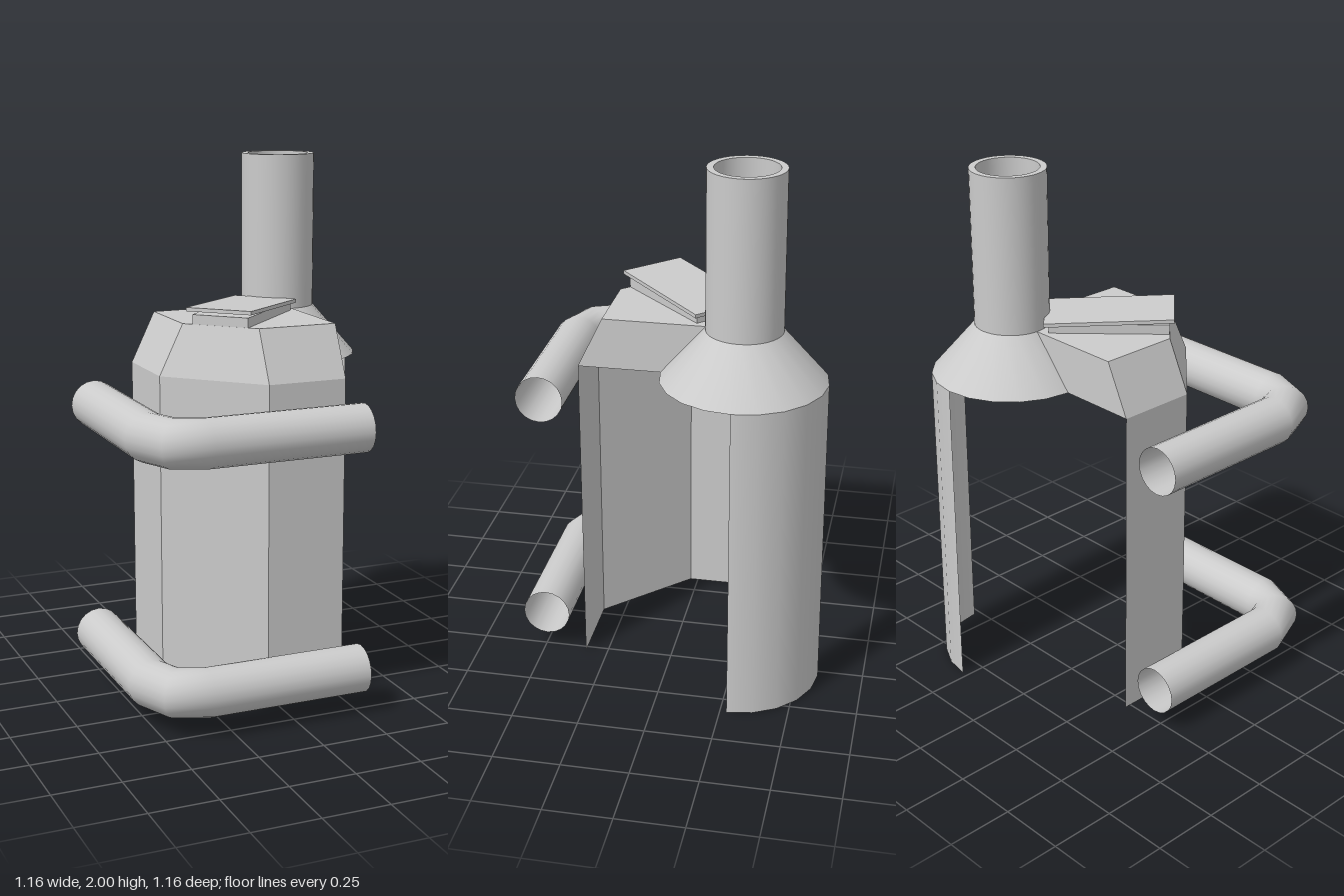
import * as THREE from 'three';
import { mergeGeometries } from 'three/addons/utils/BufferGeometryUtils.js';

const C = 0.275;                       // tank axis at (C, -C)
const R = 0.305, PIPE = 0.14, BORE = 0.115;
const EAVE = 1.22, ROOF = 1.41;

const material = new THREE.MeshStandardMaterial({ color: 0xcccccc, side: THREE.DoubleSide });

function add(parent, name, geometry) {
  const mesh = new THREE.Mesh(geometry, material);
  mesh.name = name;
  parent.add(mesh);
  return mesh;
}

// Flat convex polygons, each a list of [x, y, z] corners, front side counter-clockwise
function panels(polygons) {
  const pos = [];
  for (const p of polygons)
    for (let i = 1; i < p.length - 1; i++) pos.push(...p[0], ...p[i], ...p[i + 1]);
  const g = new THREE.BufferGeometry();
  g.setAttribute('position', new THREE.Float32BufferAttribute(pos, 3));
  g.computeVertexNormals();
  return g;
}

// Turned surface about the tank axis; each profile span is separate so its edges stay crisp
function turned(profile, segments, start, sweep) {
  const parts = [];
  for (let i = 0; i < profile.length - 1; i++) {
    const span = [profile[i], profile[i + 1]].map(([r, y]) => new THREE.Vector2(r, y));
    parts.push(new THREE.LatheGeometry(span, segments, start, sweep));
  }
  return mergeGeometries(parts).translate(C, 0, -C);
}

// Open tube rail: two straight runs joined by a two-segment elbow
function rail(y) {
  const r = 0.09, bend = 0.155, k = 0.335, len = k + C;
  const straight = () => new THREE.CylinderGeometry(r, r, len, 20, 1, true);
  const side = straight().rotateX(Math.PI / 2).translate(-k - bend, y, k - len / 2);
  const front = straight().rotateZ(Math.PI / 2).translate(-k + len / 2, y, k + bend);
  const elbow = new THREE.TorusGeometry(bend, r, 20, 2, Math.PI / 2)
    .rotateX(Math.PI / 2).rotateY(-Math.PI / 2).translate(-k, y, k);
  return mergeGeometries([side, front, elbow]);
}

export function createModel() {
  const model = new THREE.Group();
  model.name = 'tankWithHousing';

  // Tank: quarter wall, conical shoulder and hollow neck
  const tank = new THREE.Group();
  tank.name = 'tank';
  model.add(tank);
  add(tank, 'tankWall', turned([[R, 0], [R, EAVE]], 5, Math.PI / 2, Math.PI / 2));
  add(tank, 'shoulder', turned([[R, EAVE], [PIPE, ROOF]], 15, 0, Math.PI * 1.5));
  add(tank, 'neckPipe', turned(
    [[PIPE, ROOF], [PIPE, 2], [BORE, 2], [BORE, ROOF], [0, ROOF]], 40, 0, Math.PI * 2));

  // Housing: three walls with chamfered tops
  const housing = new THREE.Group();
  housing.name = 'housing';
  model.add(housing);
  const outer = [[-0.335, -C], [-0.335, 0.03], [-0.03, 0.335], [C, 0.335]];
  const inner = [[-0.243, -C], [-0.243, 0.03], [-0.03, 0.243], [C, 0.243]];
  const at = ([x, z], y) => [x, y, z];
  const walls = [], slopes = [];
  for (let i = 0; i < 3; i++) {
    const a = outer[i], b = outer[i + 1];
    walls.push([at(a, 0), at(b, 0), at(b, EAVE), at(a, EAVE)]);
    slopes.push([at(a, EAVE), at(b, EAVE), at(inner[i + 1], ROOF), at(inner[i], ROOF)]);
  }
  add(housing, 'housingWalls', panels(walls));
  add(housing, 'housingSlopes', panels(slopes));
  add(housing, 'housingTop', panels([[...inner, [C, -C]].map(p => at(p, ROOF))]));

  // Gables running from the slopes to the tank shoulder
  add(housing, 'housingGables', panels([
    [[C, EAVE, 0.335], [C, EAVE, R - C], [C, ROOF, PIPE - C], [C, ROOF, 0.243]],
    [[C - R, EAVE, -C], [-0.335, EAVE, -C], [-0.243, ROOF, -C], [C - PIPE, ROOF, -C]],
  ]));

  // Hatch: raised rim with a slightly tilted lid, pointing away from the neck
  const hatch = new THREE.Group();
  hatch.name = 'hatch';
  hatch.position.set(0.018, ROOF, -0.021);
  hatch.rotation.y = -Math.PI / 4;
  model.add(hatch);
  add(hatch, 'hatchRim', new THREE.BoxGeometry(0.22, 0.036, 0.44)).position.y = 0.018;
  const lid = add(hatch, 'hatchLid', new THREE.BoxGeometry(0.255, 0.014, 0.475));
  lid.position.y = 0.046;
  lid.rotation.x = -0.045;

  // Guard rails wrapped around the housing corner
  add(model, 'lowerRail', rail(0.155));
  add(model, 'upperRail', rail(1.07));

  return model;
}
